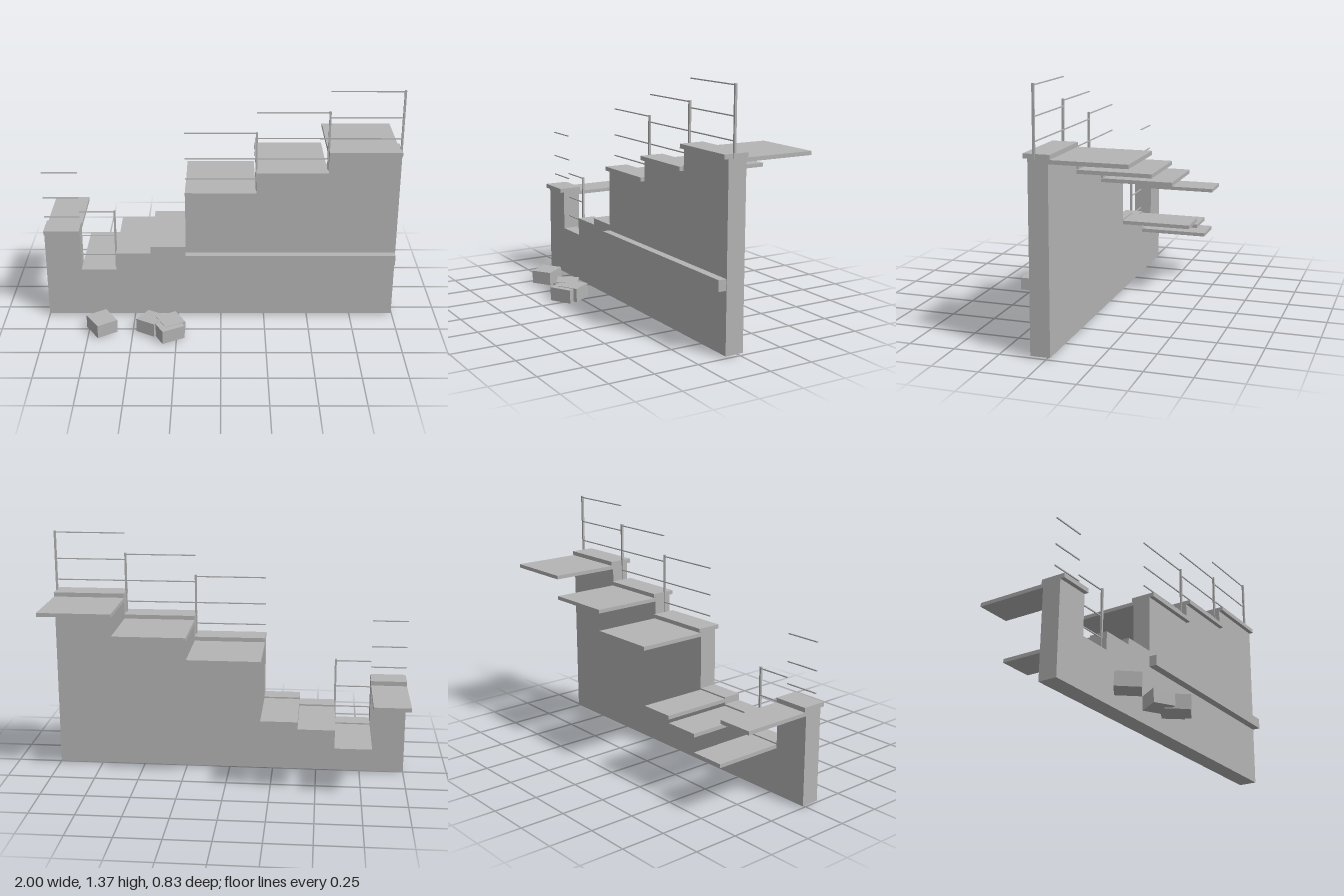
import * as THREE from 'three';

export function createModel() {
  const model = new THREE.Group();
  model.name = 'ruinedParapet';
  const stone = new THREE.MeshStandardMaterial({ color: 0xb4b4b4 });
  stone.name = 'grey stone';

  // Box given by its min and max corners
  function block(parent, name, [x0, y0, z0], [x1, y1, z1]) {
    const mesh = new THREE.Mesh(new THREE.BoxGeometry(x1 - x0, y1 - y0, z1 - z0), stone);
    mesh.position.set((x0 + x1) / 2, (y0 + y1) / 2, (z0 + z1) / 2);
    mesh.name = name;
    parent.add(mesh);
  }

  // Stepped wall bays: x range, walkway height, wall top, and which extras survive
  const bays = [
    { x0: -1.0, x1: -0.8, deck: 0.53, top: 0.53, cap: true, rails: true },
    { x0: -0.8, x1: -0.6, deck: 0.293, top: 0.3, rails: true, post: true },
    { x0: -0.6, x1: -0.4, deck: 0.395, top: 0.404 },
    { x0: -0.4, x1: -0.2, deck: 0.435, top: 0.443 },
    { x0: -0.2, x1: 0.197, deck: 0.765, top: 0.767, cap: true, rails: true, post: true },
    { x0: 0.197, x1: 0.595, deck: 0.885, top: 0.887, cap: true, rails: true, post: true },
    { x0: 0.595, x1: 0.994, deck: 1.005, top: 1.006, cap: true, rails: true, post: true },
  ];

  bays.forEach(({ x0, x1, deck, top, cap, rails, post }) => {
    const bay = new THREE.Group();
    bay.name = 'wallBay';
    model.add(bay);
    block(bay, 'wall', [x0, 0.012, -0.02], [x1, top, 0.085]);
    block(bay, 'walkwaySlab', [x0, deck - 0.021, -0.42], [x1, deck, -0.02]);
    if (cap) block(bay, 'copingCap', [x0, top, -0.03], [x1, deck + 0.025, 0.11]);

    // Three thin rails and an end post
    const base = deck + 0.025;
    if (rails) {
      for (const h of [0.06, 0.18, 0.33]) {
        block(bay, 'rail', [x0, base + h - 0.003, 0.044], [x1, base + h + 0.003, 0.05]);
      }
    }
    if (post) {
      block(bay, 'railPost', [x1 - 0.006, deck, 0.045], [x1 + 0.005, base + 0.338, 0.057]);
    }
  });

  // Ledge along the intact part of the wall
  block(model, 'frontLedge', [-0.2, 0.35, 0.085], [0.99, 0.41, 0.13]);

  // Fallen stones: centre, size, turn about y, small tilt
  const stones = [
    [[-0.675, 0.051, 0.27], [0.125, 0.078, 0.135], 0.58, 0.04],
    [[-0.395, 0.052, 0.268], [0.12, 0.078, 0.125], -0.54, -0.03],
    [[-0.295, 0.046, 0.323], [0.138, 0.08, 0.13], 0.5, 0.05],
    [[-0.285, 0.05, 0.285], [0.125, 0.08, 0.12], 0.52, 0.05],
  ];
  stones.forEach(([p, s, turn, tilt]) => {
    const mesh = new THREE.Mesh(new THREE.BoxGeometry(...s), stone);
    mesh.position.set(...p);
    mesh.rotation.set(tilt, turn, 0, 'YXZ');
    mesh.name = 'fallenStone';
    model.add(mesh);
  });

  return model;
}
